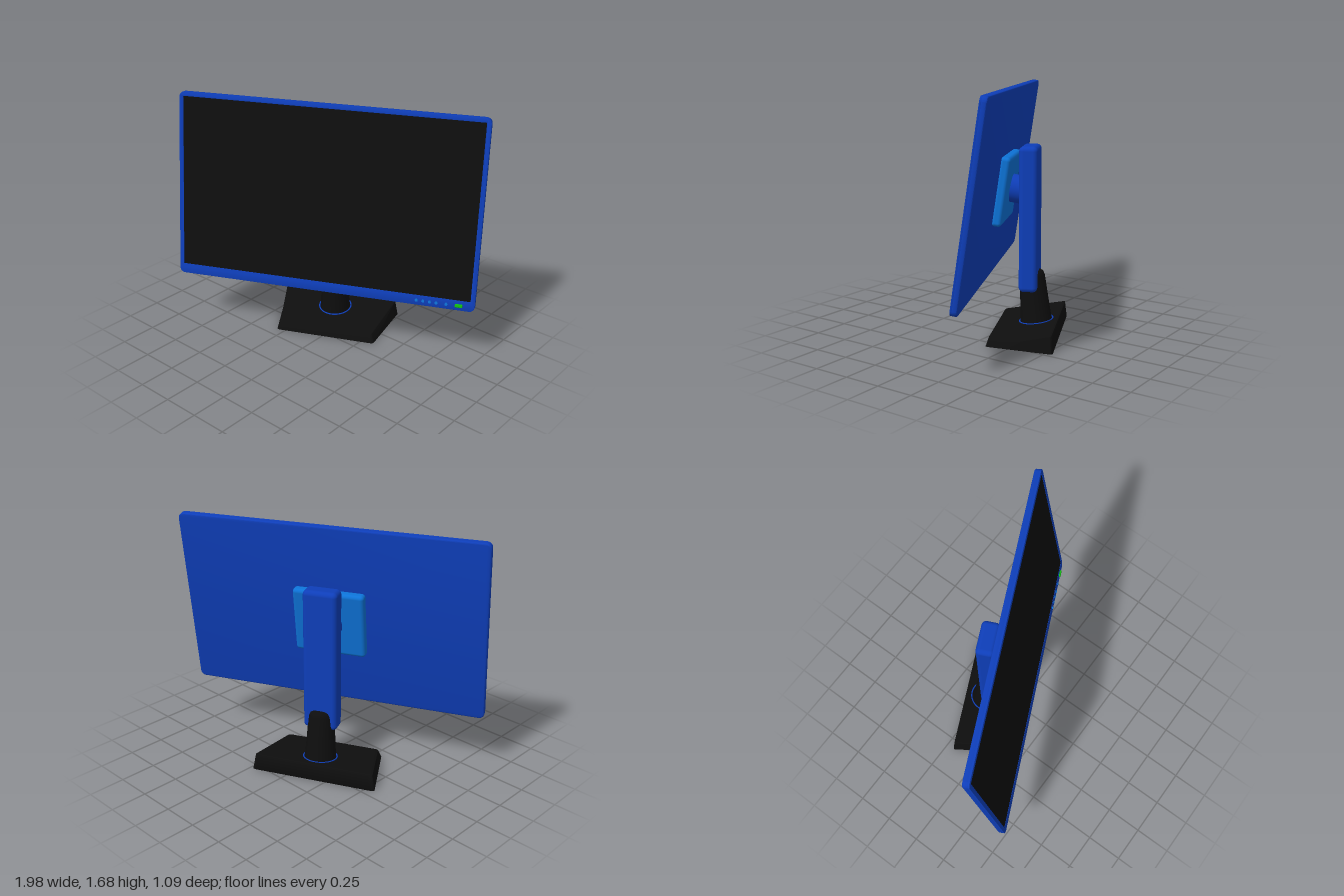
import * as THREE from 'three';
import { RoundedBoxGeometry } from 'three/addons/geometries/RoundedBoxGeometry.js';
import { toCreasedNormals } from 'three/addons/utils/BufferGeometryUtils.js';

const mat = (color) => new THREE.MeshStandardMaterial({ color });
const blue = mat(0x0e3eb9), lightBlue = mat(0x0d73d7), black = mat(0x0e0e0e), green = mat(0x10c010);

function add(parent, name, geometry, material, x = 0, y = 0, z = 0) {
  const mesh = new THREE.Mesh(geometry, material);
  mesh.name = name;
  mesh.position.set(x, y, z);
  parent.add(mesh);
  return mesh;
}

// Rounded rectangle outline centred on the origin
function roundedRect(w, h, r) {
  const s = new THREE.Shape(), x = w / 2, y = h / 2;
  s.moveTo(-x + r, -y);
  s.lineTo(x - r, -y).absarc(x - r, -y + r, r, -Math.PI / 2, 0);
  s.lineTo(x, y - r).absarc(x - r, y - r, r, 0, Math.PI / 2);
  s.lineTo(-x + r, y).absarc(-x + r, y - r, r, Math.PI / 2, Math.PI);
  s.lineTo(-x, -y + r).absarc(-x + r, -y + r, r, Math.PI, Math.PI * 1.5);
  return s;
}

// Display panel, built flat and facing +z, then leaned back
function makePanel() {
  const panel = new THREE.Group();
  panel.name = 'displayPanel';
  const W = 2.08, H = 1.283, T = 0.046, b = 0.008;
  const side = 0.027, top = 0.027, bottom = 0.066;
  const front = T / 2;

  // Back shell with softened rear edge
  const shell = new THREE.ExtrudeGeometry(roundedRect(W - 2 * b, H - 2 * b, 0.03),
    { depth: T - 0.008 - 2 * b, bevelSize: b, bevelThickness: b, bevelSegments: 3, curveSegments: 8 });
  add(panel, 'backShell', toCreasedNormals(shell, 0.6), blue, 0, 0, -T / 2 + b);

  // Bezel around the screen opening
  const e = 0.004;
  const outline = roundedRect(W - 2 * e, H - 2 * e, 0.034);
  const l = -W / 2 + side, r = W / 2 - side, d = -H / 2 + bottom, u = H / 2 - top;
  outline.holes.push(new THREE.Path([[l, d], [l, u], [r, u], [r, d]].map((p) => new THREE.Vector2(...p))));
  const bezel = new THREE.ExtrudeGeometry(outline,
    { depth: 0.008, bevelSize: e, bevelThickness: e, bevelSegments: 2, curveSegments: 8 });
  add(panel, 'bezel', toCreasedNormals(bezel, 0.6), blue, 0, 0, front - 0.008 - e);
  add(panel, 'screen', new THREE.BoxGeometry(r - l, u - d, 0.01), black, 0, (u + d) / 2, front - 0.008);

  // Control buttons and power light
  const rowY = -H / 2 + 0.034;
  for (const x of [0.654, 0.698, 0.742, 0.786, 0.852]) {
    const button = add(panel, 'button', new THREE.CylinderGeometry(0.01, 0.01, 0.012, 16), lightBlue, x, rowY, front);
    button.rotation.x = Math.PI / 2;
  }
  add(panel, 'powerLight', new RoundedBoxGeometry(0.05, 0.022, 0.02, 2, 0.004), green, 0.935, rowY, front);

  // Mounting plate and pivot hub
  add(panel, 'mountPlate', new RoundedBoxGeometry(0.49, 0.46, 0.07, 4, 0.025), lightBlue, 0, -0.025, -T / 2 - 0.025);
  const hub = add(panel, 'pivotHub', new THREE.CylinderGeometry(0.095, 0.095, 0.12, 40), blue, 0, -0.025, -T / 2 - 0.1);
  hub.rotation.x = Math.PI / 2;

  panel.position.set(0, 1.038, 0.003);
  panel.rotation.x = -0.147;
  return panel;
}

// Wedge base: wider and taller at the back, sides drawn in at the top
function baseGeometry() {
  const g = new RoundedBoxGeometry(1, 1, 1, 3, 0.03);
  const p = g.attributes.position;
  for (let i = 0; i < p.count; i++) {
    const t = p.getZ(i) + 0.5, h = p.getY(i) + 0.5;
    const inset = 0.02 * h;
    const half = THREE.MathUtils.lerp(0.436, 0.352, t) - inset;
    p.setXYZ(i, p.getX(i) * 2 * half, h * THREE.MathUtils.lerp(0.118, 0.062, t),
      THREE.MathUtils.lerp(-0.412 + inset * 0.6, 0.042 - inset, t));
  }
  return toCreasedNormals(g, 0.6);
}

// Neck: tapered round column leaning slightly forward, rounded top
function neckGeometry() {
  const profile = [[0.108, 0.08], [0.105, 0.12], [0.098, 0.22], [0.091, 0.33], [0.086, 0.41],
    [0.079, 0.435], [0.062, 0.448], [0, 0.452]].map((q) => new THREE.Vector2(...q));
  const g = new THREE.LatheGeometry(profile, 48);
  const p = g.attributes.position;
  for (let i = 0; i < p.count; i++) {
    p.setZ(i, p.getZ(i) + THREE.MathUtils.mapLinear(p.getY(i), 0.1, 0.45, -0.246, -0.212));
  }
  g.computeVertexNormals();
  return g;
}

export function createModel() {
  const model = new THREE.Group();
  model.name = 'monitor';
  const body = new THREE.Group();
  body.name = 'turnedBody';
  body.rotation.y = 0.431;
  model.add(body);

  body.add(makePanel());

  // Stand
  add(body, 'base', baseGeometry(), black);
  add(body, 'neck', neckGeometry(), black);
  const ring = add(body, 'swivelRing', new THREE.TorusGeometry(0.114, 0.005, 8, 64), blue, 0, 0.098, -0.246);
  ring.rotation.x = Math.PI / 2 + 0.123;
  add(body, 'slidingColumn', new RoundedBoxGeometry(0.235, 0.98, 0.125, 5, 0.032), blue, 0, 0.8, -0.2);
  return model;
}
